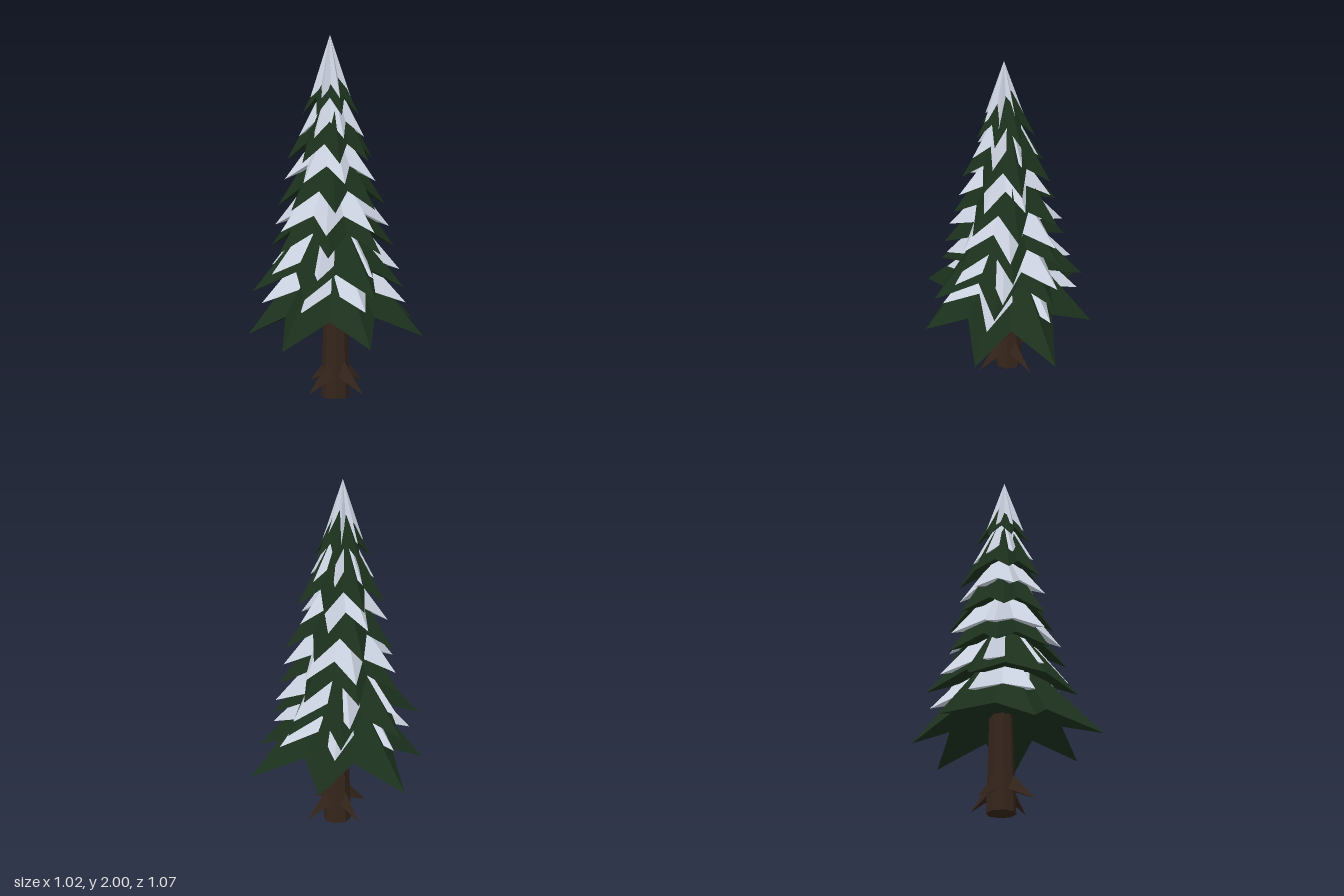
import * as THREE from 'three';

const material = (name, color) => {
  const m = new THREE.MeshStandardMaterial({ color, flatShading: true });
  m.name = name;
  return m;
};

// Evenly turned points [degrees, radius] with a small repeatable variation in length
const evenTips = (count, phase, radius, jitter = 0, seed = 0) =>
  Array.from({ length: count }, (_, i) => [
    phase + (i * 360) / count,
    radius * (1 + jitter * Math.sin(i * 12.9 + seed * 7.3 + 1.7)),
  ]);

// Star-shaped skirt: ridges run from the apex to the points, folds to the notches
function starSkirt({ tips, tipY, notch, notchY, apexY, baseY }) {
  const corner = (degrees, r, y) => {
    const a = THREE.MathUtils.degToRad(degrees);
    return [Math.cos(a) * r, y, Math.sin(a) * r];
  };
  const rim = [];
  tips.forEach(([angle, radius], i) => {
    const [nextAngle, nextRadius] = tips[(i + 1) % tips.length];
    const gap = (nextAngle - angle + 360) % 360;
    rim.push(corner(angle, radius, tipY));
    rim.push(corner(angle + gap / 2, (notch * (radius + nextRadius)) / 2, notchY));
  });
  const pos = [];
  rim.forEach((cur, i) => {
    const next = rim[(i + 1) % rim.length];
    pos.push(0, apexY, 0, ...next, ...cur); // upper face
    pos.push(0, baseY, 0, ...cur, ...next); // underside
  });
  const g = new THREE.BufferGeometry();
  g.setAttribute('position', new THREE.Float32BufferAttribute(pos, 3));
  g.computeVertexNormals();
  return g;
}

export function createModel() {
  const tree = new THREE.Group();
  tree.name = 'snowyTree';
  const needles = material('dark green', 0x1c311d);
  const snow = material('snow', 0xced5e3);
  const bark = material('bark brown', 0x35251b);

  const add = (name, geometry, mat, x, y, z) => {
    const mesh = new THREE.Mesh(geometry, mat);
    mesh.name = name;
    mesh.position.set(x, y, z);
    tree.add(mesh);
  };

  // Trunk and the four root spurs around its foot
  add('trunk', new THREE.CylinderGeometry(0.062, 0.08, 0.62, 8), bark, 0.06, 0.31, -0.015);
  add('roots', starSkirt({
    tips: evenTips(4, 0, 0.212), tipY: 0.045, notch: 0.25, notchY: 0.13, apexY: 0.28, baseY: 0.14,
  }), bark, 0.067, 0, -0.012);

  // Branch tiers: [point height, points, apex height]; the two lowest are uneven
  const tiers = [
    [0.375, [[20, 0.49], [72, 0.55], [124, 0.46], [180, 0.56], [232, 0.49], [282, 0.56], [330, 0.52]], 0.98],
    [0.625, [[13, 0.45], [65, 0.41], [116, 0.45], [168, 0.43], [218, 0.43], [268, 0.38], [320, 0.4]], 1.15],
    [0.84, evenTips(7, -4, 0.365, 0.06, 2), 1.35],
    [1.07, evenTips(7, -11, 0.305, 0.06, 3), 1.55],
    [1.325, evenTips(7, -18, 0.235, 0.06, 4), 1.78],
    [1.575, evenTips(7, -28, 0.15, 0.06, 5), 1.9],
  ];
  tiers.forEach(([tipY, tips, apexY], i) => {
    const notchY = tipY + 0.118 - i * 0.005;
    add('branchTier' + (i + 1), starSkirt({
      tips, tipY, notch: 0.61, notchY, apexY, baseY: notchY + 0.06,
    }), needles, 0.05, 0, 0.01);
  });

  // Snow layers lying on the branches: [point height, radius, apex height, turn]
  const layers = [
    [0.55, 0.41, 1.0, 17],
    [0.72, 0.36, 1.17, 5],
    [0.955, 0.312, 1.37, -2],
    [1.22, 0.246, 1.57, -23],
    [1.455, 0.18, 1.8, -28],
  ];
  layers.forEach(([tipY, radius, apexY, phase], i) => {
    add('snowLayer' + (i + 1), starSkirt({
      tips: evenTips(7, phase, radius, 0.05, i + 9), tipY, notch: 0.57,
      notchY: tipY + 0.085, apexY, baseY: tipY + 0.11,
    }), snow, 0.05, 0, 0.01);
  });

  // Snow cap at the top
  add('snowCap', starSkirt({
    tips: evenTips(7, -35, 0.115, 0.05, 20), tipY: 1.665, notch: 0.57, notchY: 1.72, apexY: 2, baseY: 1.74,
  }), snow, 0.05, 0, 0.02);

  return tree;
}
